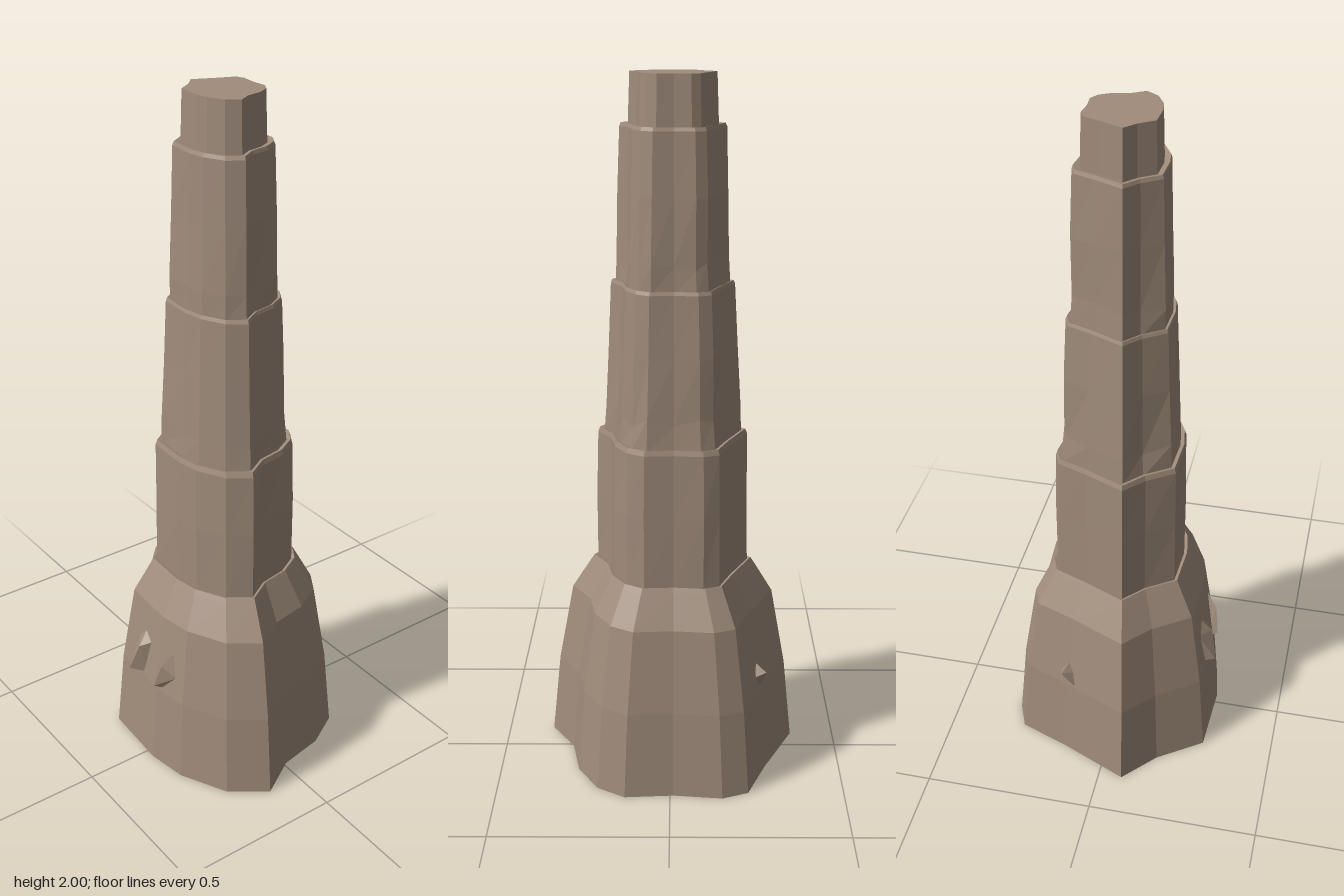
import * as THREE from 'three';
import { ConvexGeometry } from 'three/addons/geometries/ConvexGeometry.js';

// Irregular plan outline [x, z] at ground level; every ring is a scaled copy
const outline = [
  [-0.37, 0.07], [-0.27, 0.16], [-0.18, 0.29], [0.03, 0.3], [0.15, 0.28],
  [0.29, 0.21], [0.365, 0.105], [0.295, -0.01], [0.27, -0.145], [0.21, -0.25],
  [0.13, -0.3], [-0.01, -0.29], [-0.15, -0.305], [-0.225, -0.275], [-0.28, -0.13],
];

// Small repeatable wobble for the rough stone faces
function makeRandom(seed) {
  return () => {
    seed = (seed * 16807) % 2147483647;
    return seed / 2147483647 - 0.5;
  };
}

// Stacks rings given as [height, scale, roughness]; optionally closes the top
function tier(rings, capped, seed) {
  const random = makeRandom(seed);
  const n = outline.length;
  const positions = [];
  const index = [];
  rings.forEach(([y, s, rough = 0]) => {
    const shift = -0.01 * (1 - s);
    for (const [x, z] of outline) {
      const k = s + random() * rough;
      positions.push(x * k + shift, y + random() * rough, z * k);
    }
  });
  for (let r = 0; r < rings.length - 1; r++) {
    for (let i = 0; i < n; i++) {
      const j = (i + 1) % n;
      const a = r * n + i, b = r * n + j, c = b + n, d = a + n;
      index.push(a, b, c, a, c, d);
    }
  }
  if (capped) {
    const start = (rings.length - 1) * n;
    const centre = positions.length / 3;
    positions.push(0, rings[rings.length - 1][0], 0);
    for (let i = 0; i < n; i++) index.push(centre, start + i, start + (i + 1) % n);
  }
  const geometry = new THREE.BufferGeometry();
  geometry.setAttribute('position', new THREE.Float32BufferAttribute(positions, 3));
  geometry.setIndex(index);
  const flat = geometry.toNonIndexed();
  flat.computeVertexNormals();
  return flat;
}

export function createModel() {
  const group = new THREE.Group();
  const stone = new THREE.MeshStandardMaterial({ color: 0xa08c7b });
  stone.name = 'brown stone';
  stone.flatShading = true;
  stone.side = THREE.DoubleSide;

  const add = (name, geometry) => {
    const mesh = new THREE.Mesh(geometry, stone);
    mesh.name = name;
    group.add(mesh);
  };

  // Flared hollow base, then narrowing tiers, each ending in a ledge
  add('flaredBase', tier([[0, 1], [0.25, 0.93], [0.49, 0.81], [0.585, 0.655], [0.6, 0.63], [0.595, 0.59]], false, 7));
  add('lowerTier', tier([[0.59, 0.6], [0.8, 0.595, 0.012], [0.985, 0.585], [1.0, 0.57], [0.995, 0.52]], false, 11));
  add('middleTier', tier([[0.99, 0.535], [1.07, 0.515, 0.03], [1.25, 0.495, 0.01], [1.425, 0.472], [1.435, 0.46], [1.43, 0.42]], false, 23));
  add('upperTier', tier([[1.425, 0.435], [1.5, 0.43, 0.03], [1.68, 0.415, 0.01], [1.855, 0.397], [1.865, 0.385], [1.86, 0.32]], false, 31));
  add('topTier', tier([[1.855, 0.335], [2, 0.32]], true, 43));

  // Jutting stones on the wall
  const stones = {
    frontLeftStone: [
      [-0.095, 0.37, 0.25], [-0.06, 0.41, 0.245], [-0.02, 0.38, 0.25],
      [-0.035, 0.26, 0.26], [-0.085, 0.26, 0.26], [-0.08, 0.27, 0.303], [-0.05, 0.36, 0.285],
    ],
    frontRightStone: [
      [0.08, 0.4, 0.245], [0.1, 0.32, 0.255], [0.06, 0.26, 0.26],
      [0.03, 0.26, 0.26], [0.035, 0.27, 0.292], [0.06, 0.35, 0.28],
    ],
    sideStone: [
      [-0.24, 0.34, -0.11], [-0.25, 0.3, -0.14], [-0.25, 0.3, -0.085],
      [-0.25, 0.24, -0.11], [-0.28, 0.31, -0.132], [-0.27, 0.25, -0.09],
    ],
  };
  for (const [name, points] of Object.entries(stones)) {
    add(name, new ConvexGeometry(points.map((p) => new THREE.Vector3(...p))));
  }
  return group;
}
